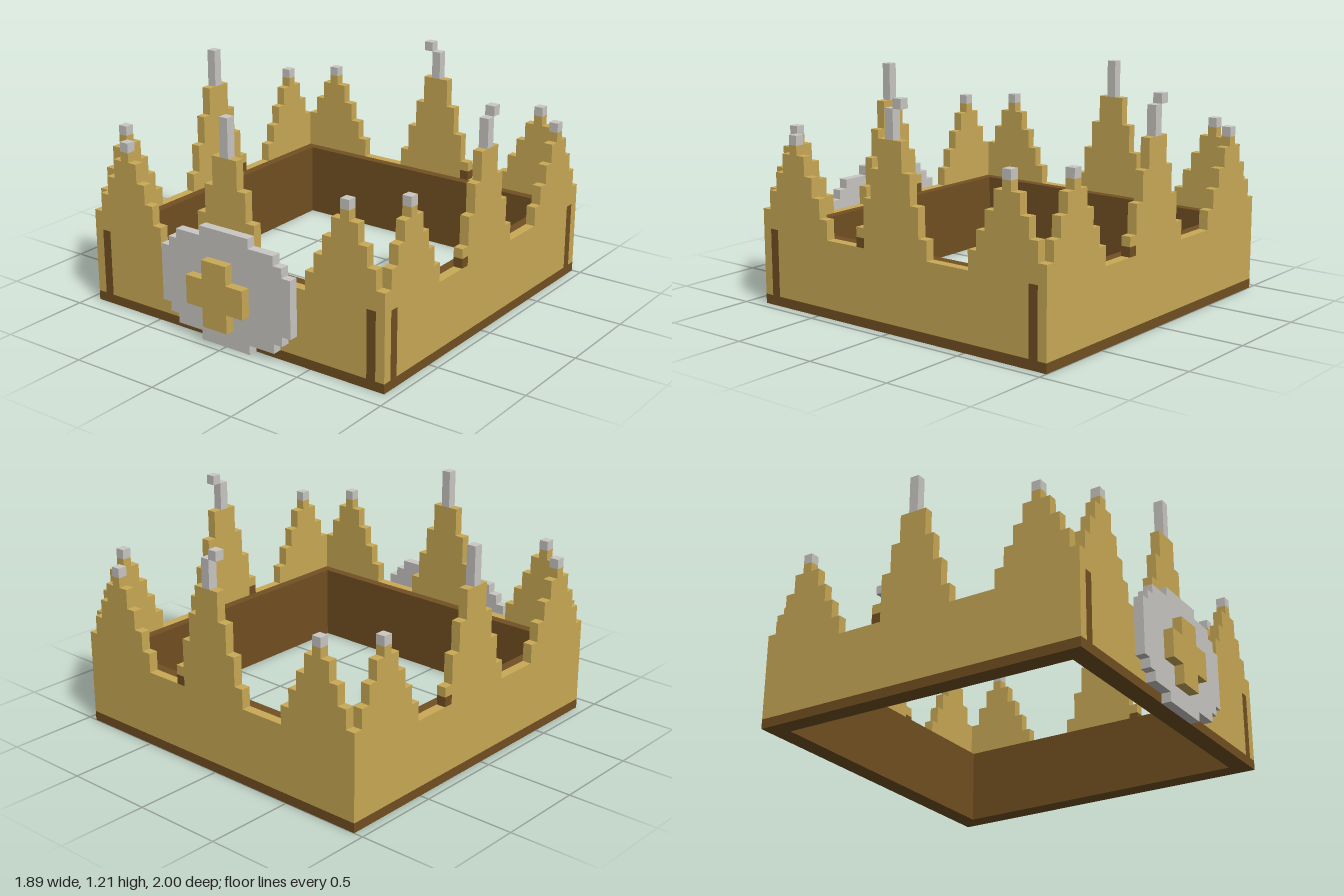
import * as THREE from 'three';

const U = 1 / 19; // size of one block; all numbers below count blocks

const mat = (name, color) => Object.assign(new THREE.MeshStandardMaterial({ color }), { name });

export function createModel() {
  const gold = mat('gold', 0xcaaa56);
  const brown = mat('brown', 0x725022);
  const silver = mat('silver', 0xcac8c4);

  const model = new THREE.Group();
  model.name = 'crown';
  const blocks = new THREE.Group();
  blocks.name = 'blocks';
  blocks.scale.setScalar(U);
  model.add(blocks);

  // Box from its minimum and maximum corners
  const box = (parent, name, material, x0, x1, y0, y1, z0, z1) => {
    const mesh = new THREE.Mesh(new THREE.BoxGeometry(x1 - x0, y1 - y0, z1 - z0), material);
    mesh.position.set((x0 + x1) / 2, (y0 + y1) / 2, (z0 + z1) / 2);
    mesh.name = name;
    parent.add(mesh);
  };

  // The band is square and sits one block behind the centre
  const band = new THREE.Group();
  band.name = 'band';
  band.position.z = -1;
  blocks.add(band);

  // Square frame lying flat, with a square opening
  const square = (Type, h) => new Type([[-h, -h], [h, -h], [h, h], [-h, h]].map(([x, y]) => new THREE.Vector2(x, y)));
  const frame = (name, outer, inner, y0, y1) => {
    const shape = square(THREE.Shape, outer);
    shape.holes.push(square(THREE.Path, inner));
    const geometry = new THREE.ExtrudeGeometry(shape, { depth: y1 - y0, bevelEnabled: false });
    geometry.rotateX(-Math.PI / 2).translate(0, y0, 0);
    const mesh = new THREE.Mesh(geometry, brown);
    mesh.name = name;
    band.add(mesh);
  };
  frame('bottomRim', 18, 16, 0, 1);
  frame('lining', 17, 16, 1, 8);

  // Stepped peaks: [half width, bottom, top]
  const smallTiers = [[4, 8, 10], [3, 10, 12], [2, 12, 14], [1, 14, 16], [0, 16, 17]];
  const tallTiers = [[3, 10, 13], [2, 13, 16], [1, 16, 19]];

  // Four walls in turn: front, left, back, right
  for (let k = 0; k < 4; k++) {
    const wall = new THREE.Group();
    wall.name = ['frontWall', 'leftWall', 'backWall', 'rightWall'][k];
    wall.rotation.y = k * Math.PI / 2;
    band.add(wall);
    const end = k % 2 ? 17 : 18; // side walls fit between front and back
    // Block along the wall, from column a up to column b
    const put = (name, material, a, b, y0, y1) =>
      box(wall, name, material, Math.max(a - 18, -end), Math.min(b - 18, end), y0, y1, 17, 18);

    // Wall panel, with dark upright strips near the corners of two walls
    if (k < 2) {
      put('panel', gold, 2, 34, 1, 8);
      for (const c of [1, 34]) put('cornerStrip', brown, c, c + 1, 1, 8);
      if (k === 0) for (const c of [0, 35]) put('cornerPost', gold, c, c + 1, 1, 8);
    } else {
      put('panel', gold, 0, 36, 1, 8);
    }

    // Small peaks with silver tips
    for (const c of [4, 31]) {
      for (const [w, y0, y1] of smallTiers) put('smallPeak', gold, c - w, c + w + 1, y0, y1);
      put('smallTip', silver, c, c + 1, 17, 18);
    }

    // Tall middle peak, with one dark block in its foot
    put('tallPeakFoot', gold, 14, 22, 8, 10);
    put('tallPeakFoot', gold, 13, 14, 9, 10);
    put('darkBlock', brown, 13, 14, 8, 9);
    for (const [w, y0, y1] of tallTiers) put('tallPeak', gold, 17 - w, 18 + w, y0, y1);

    // Silver pin, with its top block shifted sideways on two walls
    const shifted = k === 1 || k === 2 ? 1 : 0;
    put('pin', silver, 17, 18, 19, 22);
    put('pinTop', silver, 17 + shifted, 18 + shifted, 22, 23);
  }

  // Round silver badge: [half width, bottom, top]
  const badge = new THREE.Group();
  badge.name = 'badge';
  blocks.add(badge);
  const rows = [[3, 0, 1], [6, 1, 2], [7, 2, 3], [8, 3, 9], [7, 9, 10], [6, 10, 11], [3, 11, 12]];
  for (const [w, y0, y1] of rows) box(badge, 'badgeRow', silver, -w, w, y0, y1, 17, 18);

  // Gold cross on the badge
  box(badge, 'crossUpright', gold, -2, 1, 2, 9, 18, 19);
  box(badge, 'crossArm', gold, -4, -2, 4, 7, 18, 19);
  box(badge, 'crossArm', gold, 1, 3, 4, 7, 18, 19);

  return model;
}
